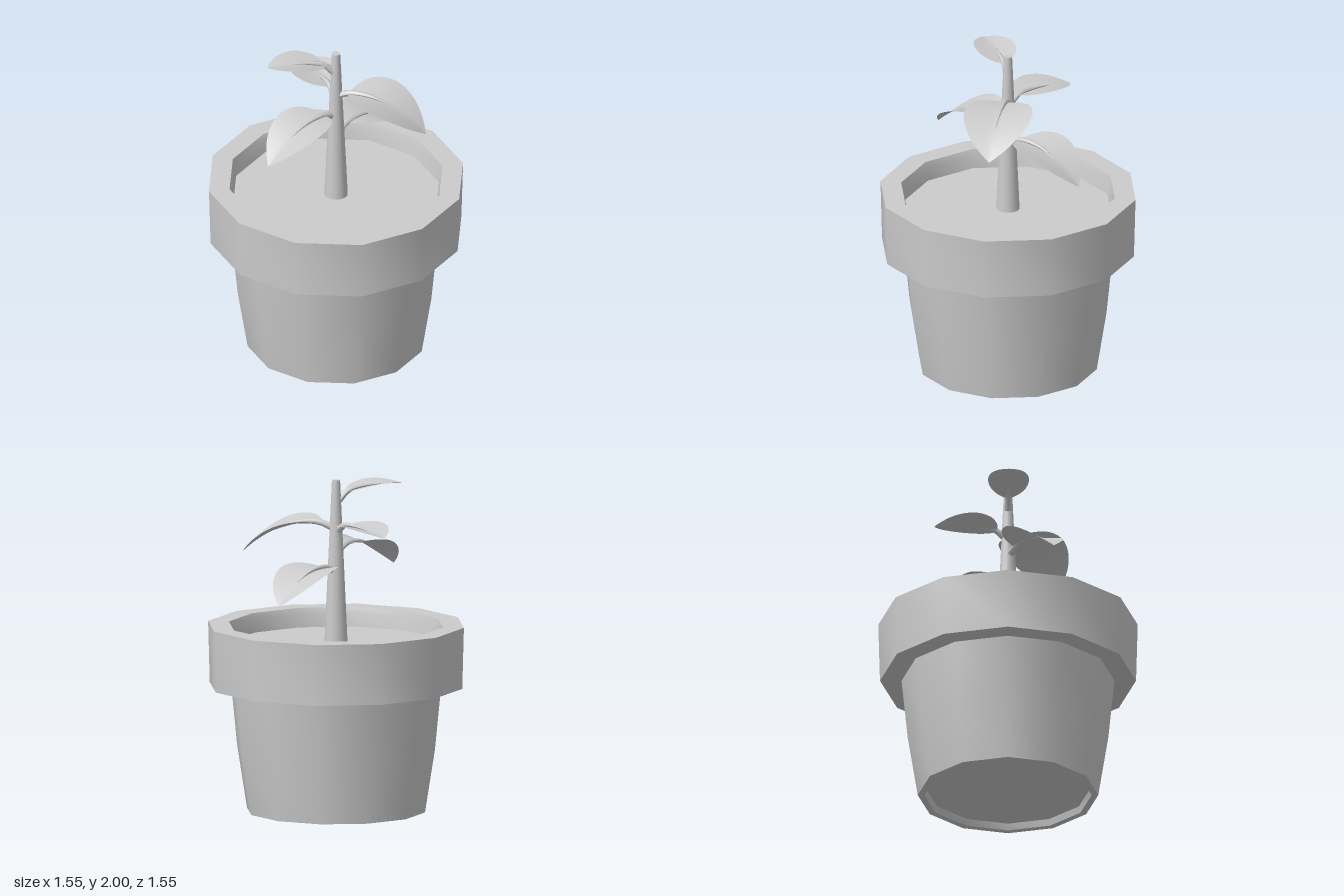
import * as THREE from 'three';
import { toCreasedNormals } from 'three/addons/utils/BufferGeometryUtils.js';

const material = new THREE.MeshStandardMaterial({ color: 0xcccccc });
const leafMaterial = new THREE.MeshStandardMaterial({ color: 0xcccccc, side: THREE.DoubleSide });

function addMesh(parent, name, geometry, mat = material) {
  const mesh = new THREE.Mesh(geometry, mat);
  mesh.name = name;
  parent.add(mesh);
  return mesh;
}

// Twelve-sided turned part with smooth walls and sharp rims
function turned(points) {
  const profile = points.map(([r, y]) => new THREE.Vector2(r, y));
  return toCreasedNormals(new THREE.LatheGeometry(profile, 12), 0.75);
}

// Half-width of the blade from base (0) to tip (1), relative to the widest place
const outline = new THREE.SplineCurve([
  [0, 0.1], [0.05, 0.48], [0.17, 0.83], [0.36, 1], [0.56, 0.95], [0.76, 0.7], [0.91, 0.33], [1, 0],
].map(([x, y]) => new THREE.Vector2(x, y)));

// Arched blade along +x, folded gently upwards on both sides of the midrib
function bladeGeometry(rib, halfWidth, fold) {
  const rows = 20, columns = 10;
  const geometry = new THREE.PlaneGeometry(1, 1, columns, rows);
  const position = geometry.attributes.position;
  for (let i = 0; i <= rows; i++) {
    const o = outline.getPoint(i / rows);
    const p = rib.getPoint(THREE.MathUtils.clamp(o.x, 0, 1));
    const w = Math.max(o.y, 0);
    for (let j = 0; j <= columns; j++) {
      const s = (j / columns) * 2 - 1;
      const lift = fold * w * Math.pow(Math.abs(s), 1.2);
      position.setXYZ(i * (columns + 1) + j, p.x, p.y + lift, s * w * halfWidth);
    }
  }
  geometry.computeVertexNormals();
  return geometry;
}

// Round stalk narrowing to a point on the blade
function stalkGeometry(path, radius) {
  const rows = 14, sides = 8;
  const geometry = new THREE.TubeGeometry(path, rows, radius, sides);
  const position = geometry.attributes.position;
  const v = new THREE.Vector3();
  for (let i = 0; i <= rows; i++) {
    const centre = path.getPointAt(i / rows);
    const taper = 1 - 0.93 * (i / rows);
    for (let j = 0; j <= sides; j++) {
      const k = i * (sides + 1) + j;
      v.fromBufferAttribute(position, k).sub(centre).multiplyScalar(taper).add(centre);
      position.setXYZ(k, v.x, v.y, v.z);
    }
  }
  geometry.computeVertexNormals();
  return geometry;
}

// tip: x, y, z of the leaf end; base: distance and height; bend: height of the arch
function makeLeaf({ name, tip, base, bend, width, fold, joint }) {
  const leaf = new THREE.Group();
  leaf.name = name;
  const reach = Math.hypot(tip[0], tip[2]);
  const rib = new THREE.QuadraticBezierCurve3(
    new THREE.Vector3(base[0], base[1], 0),
    new THREE.Vector3((base[0] + reach) / 2 + 0.02, bend, 0),
    new THREE.Vector3(reach, tip[1], 0),
  );
  addMesh(leaf, 'blade', bladeGeometry(rib, width, fold), leafMaterial);
  const along = (t, up) => rib.getPoint(t).add(new THREE.Vector3(0, up, 0));
  const path = new THREE.CatmullRomCurve3([
    new THREE.Vector3(0.01, joint, 0), along(0.03, 0.006), along(0.3, 0.008), along(0.58, 0.002),
  ]);
  addMesh(leaf, 'stalk', stalkGeometry(path, 0.024));
  leaf.rotation.y = Math.atan2(-tip[2], tip[0]);
  return leaf;
}

export function createModel() {
  const model = new THREE.Group();
  model.name = 'pottedPlant';

  // Pot with a recessed foot, tapering wall, thick rim and open mouth
  addMesh(model, 'pot', turned([
    [0, 0.04], [0.49, 0.04], [0.5, 0], [0.54, 0], [0.6, 0.38], [0.637, 0.755],
    [0.766, 0.755], [0.776, 1.125], [0.65, 1.125], [0.64, 1.09], [0.625, 0.98],
  ]));
  addMesh(model, 'soil', turned([[0.632, 1.01], [0, 1.01]]));

  // Tapering stem
  const stem = addMesh(model, 'stem', new THREE.CylinderGeometry(0.025, 0.071, 1, 16));
  stem.position.y = 1.5;

  // Leaves spiralling up the stem
  const leaves = [
    { name: 'backLeaf', tip: [0.265, 1.3, -0.48], base: [0.09, 1.478], bend: 1.5, width: 0.183, fold: 0.035, joint: 1.45 },
    { name: 'frontLeaf', tip: [-0.27, 1.43, 0.473], base: [0.09, 1.6], bend: 1.625, width: 0.175, fold: 0.035, joint: 1.57 },
    { name: 'leftLeaf', tip: [0.57, 1.55, 0.01], base: [0.085, 1.735], bend: 1.765, width: 0.205, fold: 0.035, joint: 1.71 },
    { name: 'backRightLeaf', tip: [-0.345, 1.705, -0.31], base: [0.07, 1.73], bend: 1.745, width: 0.148, fold: 0.03, joint: 1.69 },
    { name: 'topLeaf', tip: [-0.363, 1.957, 0.217], base: [0.07, 1.925], bend: 1.975, width: 0.122, fold: 0.022, joint: 1.87 },
  ];
  for (const leaf of leaves) model.add(makeLeaf(leaf));

  return model;
}
